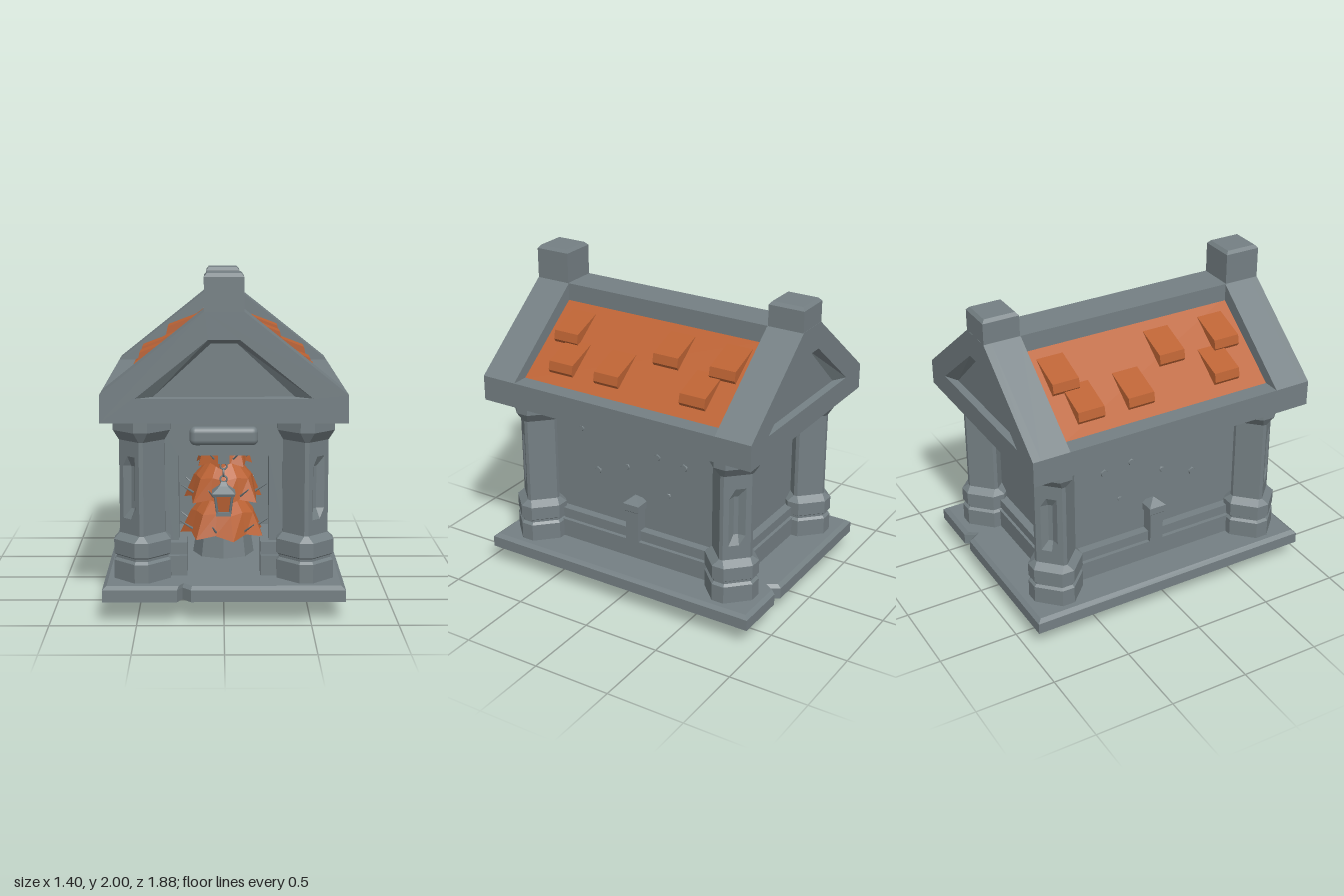
import * as THREE from 'three';
import { RoundedBoxGeometry } from 'three/addons/geometries/RoundedBoxGeometry.js';

const stone = new THREE.MeshStandardMaterial({ color: 0x747f83 });
stone.name = 'stone grey';
const clay = new THREE.MeshStandardMaterial({ color: 0xbb6233 });
clay.name = 'clay orange';

function add(parent, name, geometry, material, x = 0, y = 0, z = 0) {
  const mesh = new THREE.Mesh(geometry, material);
  mesh.name = name;
  mesh.position.set(x, y, z);
  parent.add(mesh);
  return mesh;
}

// Box given by its minimum and maximum corners
function block(parent, name, x0, x1, y0, y1, z0, z1, material = stone) {
  return add(parent, name, new THREE.BoxGeometry(x1 - x0, y1 - y0, z1 - z0), material,
    (x0 + x1) / 2, (y0 + y1) / 2, (z0 + z1) / 2);
}

// Flat-shaded skin through rings of [x, y, z] points, with fan caps
function loft(rings, startCap = true, endCap = true) {
  const out = [];
  const tri = (...points) => points.forEach(p => out.push(...p));
  const n = rings[0].length;
  const middle = r => [0, 1, 2].map(k => r.reduce((s, p) => s + p[k], 0) / n);
  for (let j = 0; j + 1 < rings.length; j++) {
    const a = rings[j], b = rings[j + 1];
    for (let i = 0; i < n; i++) {
      const k = (i + 1) % n;
      tri(a[i], b[i], a[k]);
      tri(a[k], b[i], b[k]);
    }
  }
  const first = rings[0], last = rings[rings.length - 1];
  for (let i = 0; i < n; i++) {
    const k = (i + 1) % n;
    if (startCap) tri(middle(first), first[i], first[k]);
    if (endCap) tri(middle(last), last[k], last[i]);
  }
  const g = new THREE.BufferGeometry();
  g.setAttribute('position', new THREE.Float32BufferAttribute(out, 3));
  g.computeVertexNormals();
  return g;
}

// Rectangular prism with varying half sizes: levels of [y, halfX, halfZ]
const rectLoft = levels => loft(levels.map(([y, w, d]) =>
  [[w, y, -d], [w, y, d], [-w, y, d], [-w, y, -d]]));

function polygon(points) {
  return new THREE.Shape(points.map(p => new THREE.Vector2(...p)));
}
const extrude = (shape, depth) => new THREE.ExtrudeGeometry(shape, { depth, bevelEnabled: false });

// Pillar ring: wide diagonal faces, with a sunken panel of depth d on the outer corner
function pillarRing([y, e, a, d = 0]) {
  const face = [[0, 0], [0.2, 0], [0.42, d], [0.58, d], [0.8, 0], [1, 0]].map(([t, s]) =>
    [e + (a - e) * t - s * 0.7, y, a + (e - a) * t - s * 0.7]);
  return [...face, [-a, y, e], [-e, y, a], [-e, y, -a], [-a, y, -e], [a, y, -e], [e, y, -a]];
}

function addBase(root) {
  add(root, 'foundation', rectLoft([[0, 0.47, 0.47], [0.1, 0.47, 0.47], [0.125, 0.45, 0.45]]), stone);
  // Floor slab with a small chip in its front and back edges
  const outline = [[0.7, -0.94], [0.7, 0.94], [-0.19, 0.94], [-0.24, 0.88], [-0.27, 0.94],
    [-0.7, 0.94], [-0.7, -0.94], [0.28, -0.94], [0.32, -0.88], [0.36, -0.94]];
  const slab = [[0.12, 0], [0.19, 0], [0.21, 0.025]].map(([y, inset]) =>
    outline.map(([x, z]) => [x * (1 - inset / 0.7), y, z * (1 - inset / 0.94)]));
  add(root, 'floorSlab', loft(slab), stone);
}

function addWalls(root) {
  const front = polygon([[-0.41, 0.2], [-0.265, 0.2], [-0.265, 0.92], [0.265, 0.92],
    [0.265, 0.2], [0.41, 0.2], [0.41, 1.17], [-0.41, 1.17]]);
  add(root, 'frontWall', extrude(front, 0.12), stone, 0, 0, 0.52);
  block(root, 'backWall', -0.41, 0.41, 0.2, 1.17, -0.64, -0.56);
  add(root, 'doorSign', new RoundedBoxGeometry(0.4, 0.11, 0.08, 3, 0.035), stone, 0, 1.04, 0.66);

  // Two stacked plinth courses with a groove between them
  for (const [y0, y1, t] of [[0.2, 0.33, 0.06], [0.33, 0.35, 0.035], [0.35, 0.41, 0.055]]) {
    block(root, 'backPlinth', -0.41, 0.41, y0, y1, -0.64 - t, -0.6);
    for (const s of [-1, 1]) {
      const [x0, x1] = [0.215 * s, 0.42 * s].sort((a, b) => a - b);
      block(root, 'frontPlinth', x0, x1, y0, y1, 0.54, 0.64 + t);
      const [u0, u1] = [0.38 * s, (0.41 + t) * s].sort((a, b) => a - b);
      block(root, 'sidePlinth', u0, u1, y0, y1, -0.64, 0.64);
    }
  }
  // Side walls, each with a small post and a few stone chips
  const chips = [[0.42, 0.98, 0.022], [0.3, 0.72, 0.026], [0.18, 1.04, 0.016], [0.08, 0.8, 0.02],
    [-0.14, 0.92, 0.024], [-0.22, 0.68, 0.018], [-0.33, 0.9, 0.026], [-0.36, 1.03, 0.018]];
  for (const s of [-1, 1]) {
    const [x0, x1] = [0.33 * s, 0.41 * s].sort((a, b) => a - b);
    block(root, 'sideWall', x0, x1, 0.2, 1.17, -0.6, 0.6);
    add(root, 'wallPost', rectLoft([[0.34, 0.045, 0.045], [0.54, 0.045, 0.045],
      [0.55, 0.057, 0.057], [0.595, 0.057, 0.057], [0.64, 0.005, 0.005]]), stone, 0.445 * s, 0, 0);
    for (const [z, y, r] of chips) {
      const chip = add(root, 'wallChip', new THREE.CylinderGeometry(r * 0.8, r, 0.008, 5),
        stone, 0.413 * s, y, z);
      chip.rotation.set(r * 90, 0, -s * Math.PI / 2);
    }
  }
}

function addPillars(root) {
  const levels = [[0.2, 0.165, 0.04], [0.32, 0.165, 0.04], [0.335, 0.15, 0.035], [0.35, 0.15, 0.035],
    [0.36, 0.165, 0.04], [0.445, 0.165, 0.04], [0.48, 0.132, 0.012], [0.57, 0.132, 0.012],
    [0.63, 0.132, 0.012, 0.03], [0.88, 0.132, 0.012, 0.03], [0.94, 0.132, 0.012],
    [1.03, 0.132, 0.012], [1.09, 0.165, 0.04], [1.17, 0.165, 0.04]];
  const geometry = loft(levels.map(pillarRing));
  [[1, 1, 0], [1, -1, 1], [-1, -1, 2], [-1, 1, 3]].forEach(([sx, sz, turns]) => {
    add(root, 'pillar', geometry, stone, 0.475 * sx, 0, 0.705 * sz).rotation.y = turns * Math.PI / 2;
  });
}

// Gable end with a sunken panel and a capped chimney
function makeGable(top) {
  const gable = new THREE.Group();
  gable.name = 'gable';
  const outline = [[-0.7, 1.16], [0.7, 1.16], [0.7, 1.32], [0.11, 1.79], [-0.11, 1.79], [-0.7, 1.32]];
  const outer = [[-0.5, 1.3], [-0.09, 1.63], [0.09, 1.63], [0.5, 1.3]];
  const inner = [[-0.4, 1.305], [-0.075, 1.605], [0.075, 1.605], [0.4, 1.305]];
  const face = polygon(outline);
  face.holes.push(polygon(outer));
  add(gable, 'gableFace', extrude(face, 0.05), stone, 0, 0, 0.89);
  add(gable, 'gableBody', extrude(polygon(outline), 0.185), stone, 0, 0, 0.705);
  add(gable, 'gablePanel', loft([outer.map(p => [...p, 0.94]), inner.map(p => [...p, 0.895])],
    false, true), stone);
  add(gable, 'chimney', rectLoft([[1.7, 0.112, 0.115], [top - 0.02, 0.112, 0.115],
    [top, 0.095, 0.098]]), stone, 0, 0, 0.824);
  return gable;
}

function addRoof(root) {
  root.add(makeGable(2));
  const back = makeGable(1.94);
  back.rotation.y = Math.PI;
  root.add(back);

  block(root, 'ridgeBeam', -0.115, 0.115, 1.5, 1.79, -0.71, 0.71);
  block(root, 'ceiling', -0.6, 0.6, 1.16, 1.2, -0.71, 0.71);
  for (const s of [-1, 1]) {
    const [x0, x1] = [0.59 * s, 0.7 * s].sort((a, b) => a - b);
    block(root, 'eaveBeam', x0, x1, 1.16, 1.32, -0.71, 0.71);
  }
  const slope = extrude(polygon([[-0.6, 1.2], [0.6, 1.2], [0.6, 1.312], [0.1, 1.691],
    [-0.1, 1.691], [-0.6, 1.312]]), 1.42);
  add(root, 'roofSlope', slope, clay, 0, 0, -0.71);

  // Wedge tiles: [outer x, middle z]
  const tiles = {
    1: [[0.37, -0.555], [0.37, -0.167], [0.37, 0.553], [0.54, -0.455], [0.54, 0.145], [0.54, 0.475]],
    '-1': [[0.375, -0.55], [0.375, 0.167], [0.375, 0.555], [0.54, -0.475], [0.54, -0.142], [0.54, 0.455]],
  };
  for (const s of [1, -1]) {
    for (const [x, z] of tiles[s]) {
      const y = 1.32 + (0.59 - x) * 0.758;
      const wedge = [[x - 0.02, y], [x, y + 0.03], [x - 0.012, y + 0.085], [x - 0.21, y + 0.16],
        [x - 0.21, y + 0.12]].map(([px, py]) => [px * s, py]);
      add(root, 'roofTile', extrude(polygon(wedge), 0.172), clay, 0, 0, z - 0.086);
    }
  }
}

// Leafy tiered tree standing on a low pedestal inside
function addTree(root) {
  const tree = new THREE.Group();
  tree.name = 'tree';
  tree.position.z = 0.14;
  root.add(tree);
  add(tree, 'pedestal', new THREE.CylinderGeometry(0.17, 0.19, 0.14, 8).toNonIndexed(), stone, 0, 0.28, 0)
    .geometry.computeVertexNormals();
  add(tree, 'trunk', new THREE.CylinderGeometry(0.04, 0.06, 0.6, 6), stone, 0, 0.6, 0);
  [[0.36, 0.64, 0.27], [0.58, 0.84, 0.25], [0.8, 1.06, 0.18]].forEach(([y0, y1, r], t) => {
    const ring = (radius, y, jag) => Array.from({ length: 14 }, (_, i) => {
      const a = (i + t * 0.4) / 14 * Math.PI * 2;
      const tip = i % 2 ? 1 : 1 - jag;
      return [Math.cos(a) * radius * tip, y - (i % 2 ? jag * 0.15 : 0), Math.sin(a) * radius * tip];
    });
    add(tree, 'foliage', loft([ring(r * 0.6, y0 + 0.06, 0.05), ring(r, y0, 0.18),
      ring(r * 0.75, y0 + 0.13, 0.08), ring(r * 0.25, y1, 0)]), clay);
    for (let i = 0; i < 7; i++) {
      const a = i / 7 * Math.PI * 2 + t;
      const twig = add(tree, 'twig', new THREE.CylinderGeometry(0.004, 0.01, 0.12, 4), stone,
        Math.cos(a) * r * 0.9, y0 + 0.04, Math.sin(a) * r * 0.9);
      twig.rotation.set(Math.sin(a), 0, -Math.cos(a));
    }
  });
}

// Hanging lantern behind the doorway
function addLantern(root) {
  const lantern = new THREE.Group();
  lantern.name = 'lantern';
  lantern.position.z = 0.46;
  root.add(lantern);
  block(lantern, 'hangingBlock', -0.035, 0.035, 0.84, 0.9, -0.035, 0.035);
  block(lantern, 'hanger', -0.01, 0.01, 0.9, 1.17, -0.01, 0.01);
  [0.82, 0.78, 0.74].forEach((y, i) => {
    add(lantern, 'chainLink', new THREE.TorusGeometry(0.02, 0.006, 5, 10), stone, 0, y, 0)
      .rotation.y = i * Math.PI / 2;
  });
  add(lantern, 'lanternRoof', rectLoft([[0.645, 0.065, 0.065], [0.66, 0.07, 0.07],
    [0.7, 0.025, 0.025], [0.725, 0.015, 0.015]]), stone);
  add(lantern, 'lanternGlow', rectLoft([[0.54, 0.03, 0.03], [0.65, 0.045, 0.045]]), clay);
  add(lantern, 'lanternFoot', rectLoft([[0.52, 0.045, 0.045], [0.545, 0.045, 0.045]]), stone);
  for (const sx of [-1, 1]) for (const sz of [-1, 1]) {
    const bar = new THREE.TubeGeometry(new THREE.LineCurve3(
      new THREE.Vector3(0.037 * sx, 0.53, 0.037 * sz),
      new THREE.Vector3(0.053 * sx, 0.655, 0.053 * sz)), 1, 0.008, 4);
    add(lantern, 'lanternBar', bar, stone);
  }
}

export function createModel() {
  const root = new THREE.Group();
  root.name = 'shrine';
  [addBase, addWalls, addPillars, addRoof, addTree, addLantern].forEach(build => build(root));
  return root;
}
